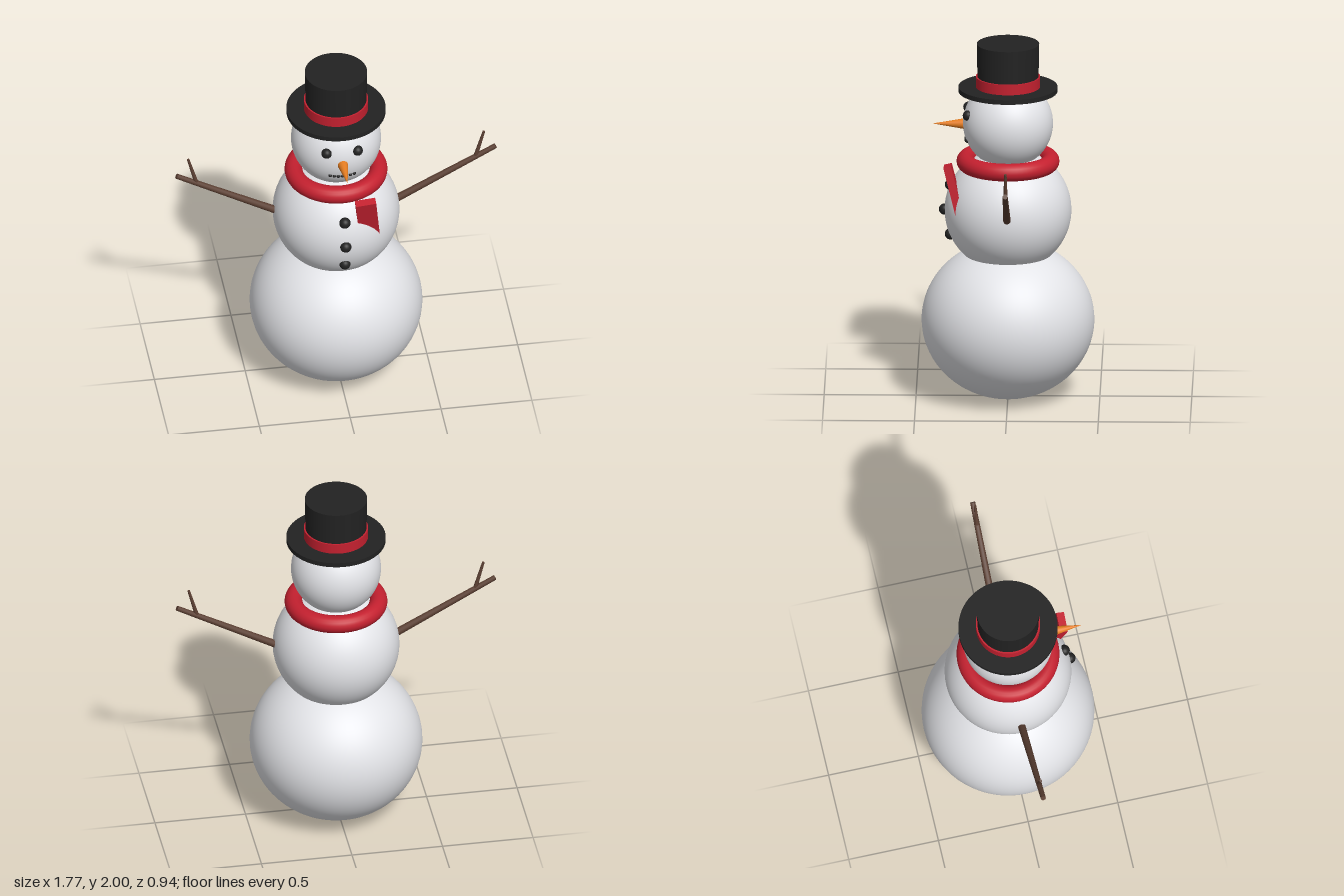
import * as THREE from 'three';

const material = (name, color) => {
  const m = new THREE.MeshStandardMaterial({ color });
  m.name = name;
  return m;
};

export function createModel() {
  const snow = material('snow', 0xf0f1f5);
  const black = material('coal black', 0x222222);
  const red = material('scarf red', 0xc4202f);
  const orange = material('carrot orange', 0xe67e22);
  const brown = material('bark brown', 0x5c4033);

  const model = new THREE.Group();
  model.name = 'snowman';

  const add = (name, geometry, mat, x = 0, y = 0, z = 0, parent = model) => {
    const mesh = new THREE.Mesh(geometry, mat);
    mesh.name = name;
    mesh.position.set(x, y, z);
    parent.add(mesh);
    return mesh;
  };
  const group = (name) => {
    const g = new THREE.Group();
    g.name = name;
    model.add(g);
    return g;
  };

  // Snowballs, slightly squashed
  const ball = (name, r, ry, y) =>
    add(name, new THREE.SphereGeometry(r, 64, 48), snow, 0, y, 0).scale.set(1, ry / r, 1);
  ball('baseSnowball', 0.47, 0.435, 0.44);
  ball('middleSnowball', 0.345, 0.34, 1.06);
  ball('head', 0.245, 0.245, 1.55);

  // Round pieces of coal
  const coal = (name, r, x, y, z, parent) =>
    add(name, new THREE.SphereGeometry(r, 20, 14), black, x, y, z, parent);

  const face = group('face');
  for (const [side, s] of [['left', 1], ['right', -1]]) {
    coal(side + 'Eye', 0.029, s * 0.085, 1.615, 0.216, face);
  }
  for (let i = -3; i <= 3; i++) {
    const x = i * 0.022;
    const y = 1.459 + 1.3 * x * x;
    const z = Math.sqrt(0.245 ** 2 - x * x - (1.55 - y) ** 2);
    coal('mouthPebble', 0.01, x, y, z, face);
  }
  const nose = add('carrotNose', new THREE.ConeGeometry(0.034, 0.2, 24), orange, 0, 1.545, 0.31, face);
  nose.rotation.x = Math.PI / 2;

  const buttons = group('buttons');
  for (const [y, z] of [[1.2, 0.313], [1.06, 0.345], [0.92, 0.313]]) {
    coal('button', 0.031, 0, y, z, buttons);
  }

  // Top hat
  const hat = group('topHat');
  add('brim', new THREE.CylinderGeometry(0.27, 0.27, 0.026, 64), black, 0, 1.744, 0, hat);
  add('crown', new THREE.CylinderGeometry(0.17, 0.165, 0.25, 64), black, 0, 1.875, 0, hat);
  add('hatBand', new THREE.CylinderGeometry(0.175, 0.175, 0.06, 64), red, 0, 1.785, 0, hat);

  // Scarf with one hanging tail
  const scarf = group('scarf');
  const wrap = add('scarfWrap', new THREE.TorusGeometry(0.231, 0.049, 20, 64), red, 0, 1.335, 0, scarf);
  wrap.rotation.x = Math.PI / 2;
  const tail = add('scarfTail', new THREE.BoxGeometry(0.112, 0.3, 0.043), red, 0.128, 1.195, 0.29, scarf);
  tail.rotation.set(0.25, 0, 0.11);

  // Tapered stick between two points in the xy plane
  const stick = (name, a, b, r0, r1, parent) => {
    const from = new THREE.Vector3(...a, 0);
    const to = new THREE.Vector3(...b, 0);
    const dir = to.clone().sub(from);
    const mid = from.clone().add(to).multiplyScalar(0.5);
    const mesh = add(name, new THREE.CylinderGeometry(r1, r0, dir.length(), 14), brown, mid.x, mid.y, 0, parent);
    mesh.quaternion.setFromUnitVectors(new THREE.Vector3(0, 1, 0), dir.normalize());
  };

  // Branch arms, mirrored
  for (const [side, s] of [['left', 1], ['right', -1]]) {
    const arm = group(side + 'Arm');
    stick(side + 'Branch', [s * 0.32, 1.085], [s * 0.878, 1.388], 0.021, 0.014, arm);
    stick(side + 'Twig', [s * 0.768, 1.33], [s * 0.814, 1.495], 0.012, 0.007, arm);
  }

  return model;
}
